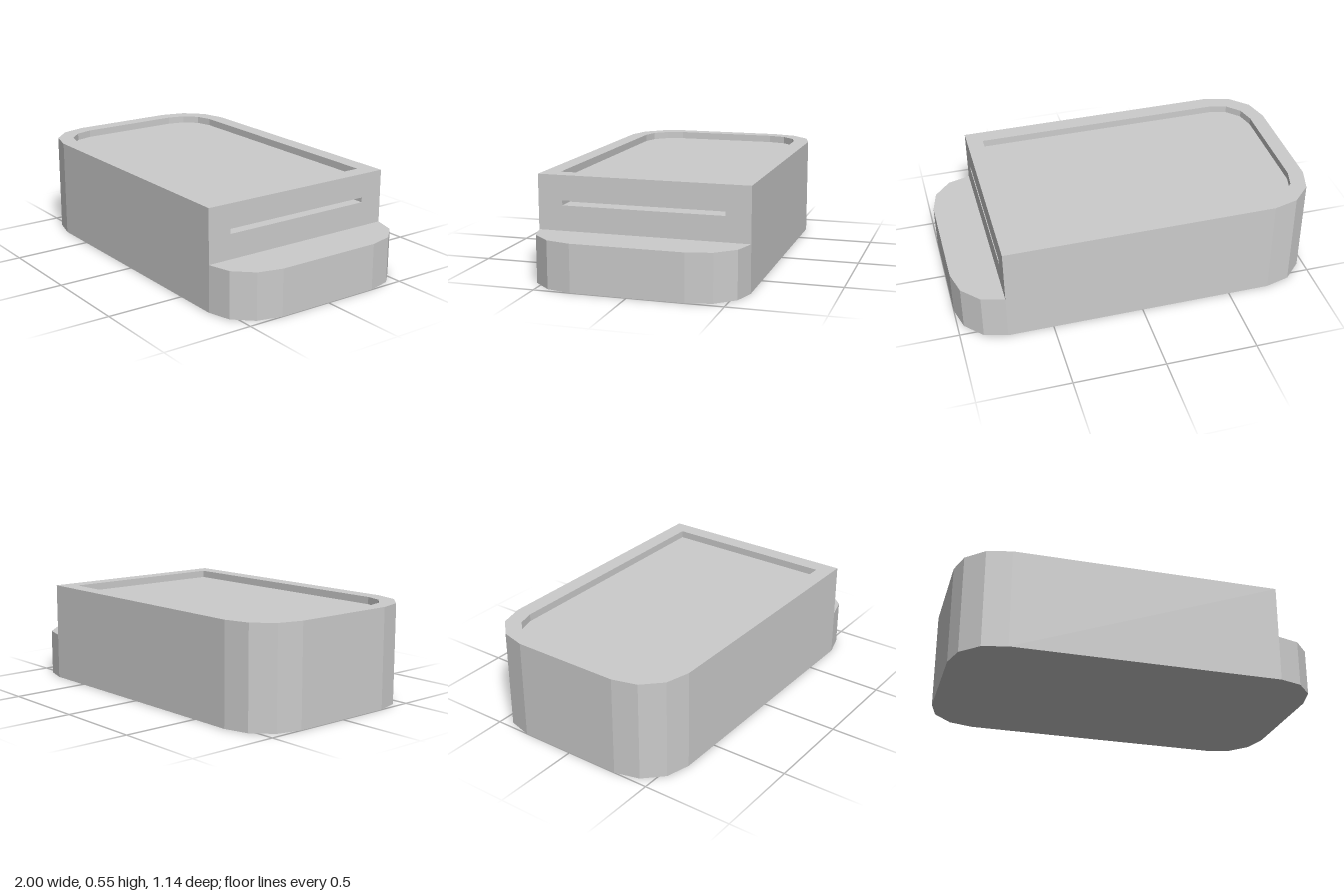
import * as THREE from 'three';

const material = new THREE.MeshStandardMaterial({ color: 0xcccccc, flatShading: true });

function addMesh(parent, name, geometry) {
  const mesh = new THREE.Mesh(geometry, material);
  mesh.name = name;
  parent.add(mesh);
}

// Flat face at height z, optionally with a hole or facing down.
function cap(points, z, hole, down) {
  const shape = new THREE.Shape(points);
  if (hole) shape.holes.push(new THREE.Path(hole));
  const geometry = new THREE.ShapeGeometry(shape);
  if (down) geometry.rotateX(Math.PI);
  return geometry.translate(0, 0, z);
}

// Straight wall along a path, facing outward when the path runs counterclockwise.
function wall(points, z0, z1, closed) {
  const positions = [];
  const count = closed ? points.length : points.length - 1;
  for (let i = 0; i < count; i++) {
    const a = points[i], b = points[(i + 1) % points.length];
    positions.push(a.x, a.y, z0, b.x, b.y, z0, b.x, b.y, z1);
    positions.push(a.x, a.y, z0, b.x, b.y, z1, a.x, a.y, z1);
  }
  const geometry = new THREE.BufferGeometry();
  geometry.setAttribute('position', new THREE.Float32BufferAttribute(positions, 3));
  geometry.computeVertexNormals();
  return geometry;
}

// Rounded corner of three facets, starting at the given angle.
function corner(cx, cy, rx, ry, start) {
  return [0, 1, 2, 3].map((i) => {
    const t = start + (i * Math.PI) / 6;
    return new THREE.Vector2(cx + rx * Math.cos(t), cy + ry * Math.sin(t));
  });
}

function rectangle(x0, x1, y0, y1) {
  return [[x0, y0], [x1, y0], [x1, y1], [x0, y1]].map(([x, y]) => new THREE.Vector2(x, y));
}

export function createModel() {
  const model = new THREE.Group();
  model.name = 'steppedCase';
  const halfDepth = 0.57, height = 0.55, ledgeHeight = 0.255, stepX = 0.75;
  const recessDepth = 0.04, slotDepth = 0.1;
  const pi = Math.PI;

  // Outlines, drawn flat and extruded upwards
  const rightEnd = [
    ...corner(stepX, -0.3, 0.25, 0.27, -pi / 2),
    ...corner(stepX, 0.3, 0.25, 0.27, 0),
  ];
  const leftEnd = [
    new THREE.Vector2(stepX, halfDepth),
    ...corner(-0.73, 0.3, 0.27, 0.27, pi / 2),
    ...corner(-0.73, -0.3, 0.27, 0.27, pi),
    new THREE.Vector2(stepX, -halfDepth),
  ];
  const recess = [
    new THREE.Vector2(0.66, 0.48),
    ...corner(-0.73, 0.29, 0.185, 0.19, pi / 2),
    ...corner(-0.73, -0.29, 0.185, 0.19, pi),
    new THREE.Vector2(0.66, -0.48),
  ];

  const body = new THREE.Group();
  body.name = 'body';
  body.rotation.x = -pi / 2;
  model.add(body);
  addMesh(body, 'bodyWall', wall(leftEnd, 0, height));
  addMesh(body, 'ledgeWall', wall(rightEnd, 0, ledgeHeight));
  addMesh(body, 'ledgeTop', cap(rightEnd, ledgeHeight));
  addMesh(body, 'base', cap([...rightEnd, ...leftEnd.slice(1, -1)], 0, null, true));

  // Rim and shallow recessed top panel
  addMesh(body, 'topRim', cap(leftEnd, height, recess));
  addMesh(body, 'recessWall', wall([...recess].reverse(), height - recessDepth, height, true));
  addMesh(body, 'topPanel', cap(recess, height - recessDepth));

  // Step face with a narrow slot
  const step = new THREE.Group();
  step.name = 'stepFace';
  step.rotation.y = pi / 2;
  model.add(step);
  const slot = rectangle(-0.437, 0.437, 0.39, 0.417);
  addMesh(step, 'stepPanel', cap(rectangle(-halfDepth, halfDepth, ledgeHeight, height), stepX, slot));
  addMesh(step, 'slotWall', wall([...slot].reverse(), stepX - slotDepth, stepX, true));
  addMesh(step, 'slotBack', cap(slot, stepX - slotDepth));

  return model;
}
